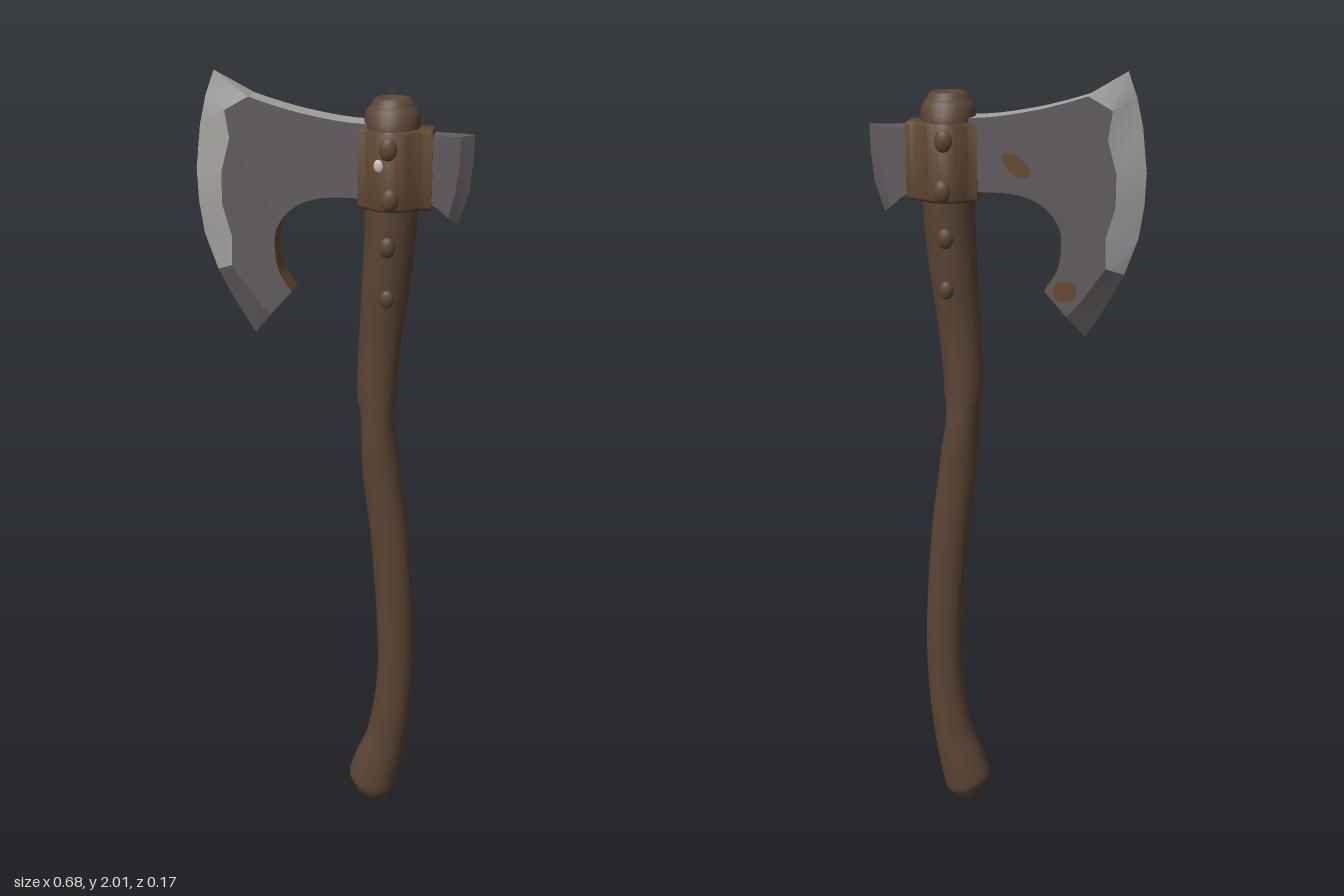
import * as THREE from 'three';
import { mergeGeometries, toCreasedNormals } from 'three/addons/utils/BufferGeometryUtils.js';

const mat = (name, color) => {
  const m = new THREE.MeshStandardMaterial({ color, side: THREE.DoubleSide });
  m.name = name;
  return m;
};
const V = (p) => new THREE.Vector2(p[0], p[1]);

// Smooth 2D curve through a few points
const smooth = (pts, n = 20) =>
  new THREE.SplineCurve(pts.map(V)).getPoints(n).map((p) => [p.x, p.y]);

// Non-indexed geometry from a list of triangles, smoothed below the crease angle
function fromTriangles(tris, crease = 0.5) {
  const g = new THREE.BufferGeometry();
  g.setAttribute('position', new THREE.Float32BufferAttribute(tris.flat(2), 3));
  return toCreasedNormals(g, crease);
}

// Front and back faces of a plate whose half thickness depends on x
function faces(outline, half) {
  const front = new THREE.ShapeGeometry(new THREE.Shape(outline.map(V)));
  const pos = front.attributes.position;
  for (let i = 0; i < pos.count; i++) pos.setZ(i, half(pos.getX(i)));
  const back = front.clone().scale(1, 1, -1);
  back.index.array.reverse();
  front.computeVertexNormals();
  back.computeVertexNormals();
  return mergeGeometries([front, back]);
}

// Side wall of a plate along a line of points
function wall(pts, half) {
  const tris = [];
  for (let i = 0; i < pts.length - 1; i++) {
    const [a, b] = [pts[i], pts[i + 1]];
    const q = [[...a, half(a[0])], [...a, -half(a[0])], [...b, -half(b[0])], [...b, half(b[0])]];
    tris.push([q[0], q[1], q[2]], [q[0], q[2], q[3]]);
  }
  return fromTriangles(tris);
}

// Sharpened edge: rows of [outer x, outer y, inner x, inner y]
function wedge(rows, half) {
  const tris = [];
  const pts = rows.map(([ox, oy, ix, iy]) => ({
    o: [ox, oy, 0], f: [ix, iy, half(ix)], b: [ix, iy, -half(ix)],
  }));
  for (let i = 0; i < pts.length - 1; i++) {
    const [p, q] = [pts[i], pts[i + 1]];
    tris.push([p.f, p.o, q.o], [p.f, q.o, q.f], [p.o, p.b, q.b], [p.o, q.b, q.o]);
  }
  for (const p of [pts[0], pts[pts.length - 1]]) tris.push([p.f, p.b, p.o]);
  return fromTriangles(tris);
}

// Handle: elliptical rings along a curved centreline, [y, centre x, rx, rz, tilt]
function handleGeometry(rows, sides = 28, steps = 96) {
  const centre = new THREE.CatmullRomCurve3(rows.map((r) => new THREE.Vector3(r[1], r[0], 0)));
  const radii = new THREE.CatmullRomCurve3(rows.map((r) => new THREE.Vector3(r[2], r[3], r[4])));
  const pos = [], idx = [];
  for (let i = 0; i <= steps; i++) {
    const c = centre.getPoint(i / steps), r = radii.getPoint(i / steps);
    for (let j = 0; j < sides; j++) {
      const a = (j / sides) * Math.PI * 2, dx = r.x * Math.cos(a);
      pos.push(c.x + dx, c.y + r.z * dx, r.y * Math.sin(a));
      if (i === steps) continue;
      const k = i * sides + j, n = i * sides + ((j + 1) % sides);
      idx.push(k, k + sides, n, n, k + sides, n + sides);
    }
  }
  const g = new THREE.BufferGeometry();
  g.setAttribute('position', new THREE.Float32BufferAttribute(pos, 3));
  g.setIndex(idx);
  g.computeVertexNormals();
  return g;
}

export function createModel() {
  const model = new THREE.Group();
  model.name = 'axe';
  const wood = mat('dark wood', 0x5b4434);
  const leather = mat('brown socket', 0x5f4631);
  const steel = mat('dark steel', 0x625c5e);
  const bright = mat('bright steel', 0xa3a29f);
  const rust = mat('rust', 0x6a4a30);
  const ivory = mat('pale rivet', 0xc9c0b0);
  const add = (parent, name, geometry, material) => {
    const m = new THREE.Mesh(geometry, material);
    m.name = name;
    parent.add(m);
    return m;
  };

  // Handle
  add(model, 'handle', handleGeometry([
    [0.02, 0.105, 0.001, 0.001, -0.4], [0.02, 0.105, 0.045, 0.042, -0.4],
    [0.037, 0.107, 0.06, 0.052, -0.4], [0.1, 0.122, 0.061, 0.053, -0.35],
    [0.2, 0.148, 0.053, 0.048, -0.2], [0.35, 0.167, 0.049, 0.045, -0.05],
    [0.5, 0.17, 0.049, 0.044, 0], [0.8, 0.15, 0.05, 0.045, 0],
    [1.0, 0.125, 0.05, 0.046, 0], [1.2, 0.11, 0.05, 0.046, 0],
    [1.35, 0.117, 0.053, 0.046, 0], [1.5, 0.13, 0.06, 0.059, 0],
    [1.65, 0.14, 0.064, 0.068, 0], [1.87, 0.14, 0.066, 0.072, 0],
    [1.91, 0.14, 0.065, 0.061, 0], [1.93, 0.14, 0.052, 0.048, 0],
    [1.93, 0.14, 0.001, 0.001, 0],
  ]), wood);

  // Raised knots on both faces of the neck and socket
  for (const s of [1, -1]) {
    for (const [x, y, z, r] of [[0.14, 1.475, 0.055, 0.018], [0.14, 1.605, 0.063, 0.02],
      [0.145, 1.72, 0.07, 0.022], [0.14, 1.84, 0.07, 0.022]]) {
      const k = add(model, 'knot', new THREE.SphereGeometry(r, 16, 12), y > 1.7 ? leather : wood);
      k.position.set(x, y, s * z);
      k.scale.set(1, 1.3, 0.7);
    }
  }

  // Socket wrapped round the handle, flaring into blade and poll
  const halfOutline = [[0.072, 0.034], [0.09, 0.042], [0.112, 0.06], [0.14, 0.067],
    [0.17, 0.06], [0.195, 0.043], [0.215, 0.03], [0.232, 0.025]];
  const ring = smooth(halfOutline, 24);
  const socketShape = new THREE.Shape(
    [...ring.map(([x, z]) => [x, -z]), ...[...ring].reverse()].map(V));
  const socket = new THREE.ExtrudeGeometry(socketShape, {
    depth: 0.17, bevelEnabled: true, bevelSize: 0.008, bevelThickness: 0.01, bevelSegments: 3,
  });
  socket.rotateX(-Math.PI / 2).translate(0, 1.7, 0);
  add(model, 'socket', toCreasedNormals(socket, 0.7), leather);

  // Rivet on the front of the socket
  const rivet = add(model, 'rivet', new THREE.SphereGeometry(0.014, 12, 10), ivory);
  rivet.position.set(0.12, 1.8, 0.068);
  rivet.scale.set(1, 1.2, 0.6);

  // Bearded blade
  const blade = new THREE.Group();
  blade.name = 'blade';
  model.add(blade);
  const bladeHalf = (x) => 0.033 + 0.018 * Math.max(0, x + 0.27) ** 1.2;
  const edge = [
    [-0.29, 2.0, -0.2, 1.945], [-0.312, 1.94, -0.258, 1.912], [-0.328, 1.87, -0.248, 1.845],
    [-0.34, 1.765, -0.27, 1.765], [-0.337, 1.685, -0.27, 1.685], [-0.325, 1.605, -0.248, 1.61],
    [-0.293, 1.515, -0.25, 1.535], [-0.27, 1.47, -0.225, 1.5], [-0.235, 1.41, -0.19, 1.45],
    [-0.2, 1.355, -0.155, 1.412],
  ];
  const inner = edge.map((r) => [r[2], r[3]]);
  const top = smooth([[0.09, 1.89], [0.02, 1.895], [-0.07, 1.91], [-0.14, 1.927], [-0.2, 1.945]]);
  const notch = smooth([[-0.1, 1.475], [-0.128, 1.52], [-0.14, 1.575], [-0.134, 1.635],
    [-0.09, 1.687], [-0.02, 1.712], [0.09, 1.715]], 30);
  add(blade, 'bladeFaces', faces([...top, ...inner.slice(1), ...notch], bladeHalf), steel);
  add(blade, 'bladeTop', wall(top, bladeHalf), bright);
  add(blade, 'bladeNotch', wall(notch.slice(0, 23), bladeHalf), rust);
  add(blade, 'bladeUnderside', wall(notch.slice(22), bladeHalf), steel);
  add(blade, 'beardEnd', wall([inner[9], notch[0]], bladeHalf), steel);
  add(blade, 'cuttingEdge', wedge(edge.slice(0, 7), bladeHalf), bright);
  add(blade, 'lowerEdge', wedge(edge.slice(6), bladeHalf), steel);

  // Rust spots on the back of the blade
  for (const [x, y, rx, ry, turn] of [[-0.03, 1.78, 0.04, 0.02, 0.7], [-0.15, 1.475, 0.03, 0.026, 0]]) {
    const spot = add(blade, 'rustSpot', new THREE.CylinderGeometry(1, 1, 0.004, 20).rotateX(Math.PI / 2), rust);
    spot.position.set(x, y, -bladeHalf(x));
    spot.scale.set(rx, ry, 1);
    spot.rotation.z = turn;
  }

  // Small flared poll behind the socket
  const poll = new THREE.Group();
  poll.name = 'poll';
  model.add(poll);
  const pollHalf = (x) => 0.03 - 0.09 * Math.max(0, x - 0.22);
  const pollEdge = [[0.335, 1.867, 0.305, 1.865], [0.333, 1.8, 0.303, 1.8],
    [0.326, 1.73, 0.295, 1.735], [0.302, 1.655, 0.28, 1.672]];
  const pollInner = pollEdge.map((r) => [r[2], r[3]]).reverse();
  const pollTop = [[0.305, 1.865], [0.25, 1.866], [0.2, 1.87]];
  const pollUnder = [[0.2, 1.71], [0.235, 1.706], [0.255, 1.695], [0.28, 1.672]];
  add(poll, 'pollFaces', faces([...pollTop, ...pollUnder, ...pollInner.slice(1, -1)], pollHalf), steel);
  add(poll, 'pollTop', wall(pollTop, pollHalf), steel);
  add(poll, 'pollUnderside', wall(pollUnder, pollHalf), steel);
  add(poll, 'pollEdge', wedge(pollEdge, pollHalf), steel);

  return model;
}
